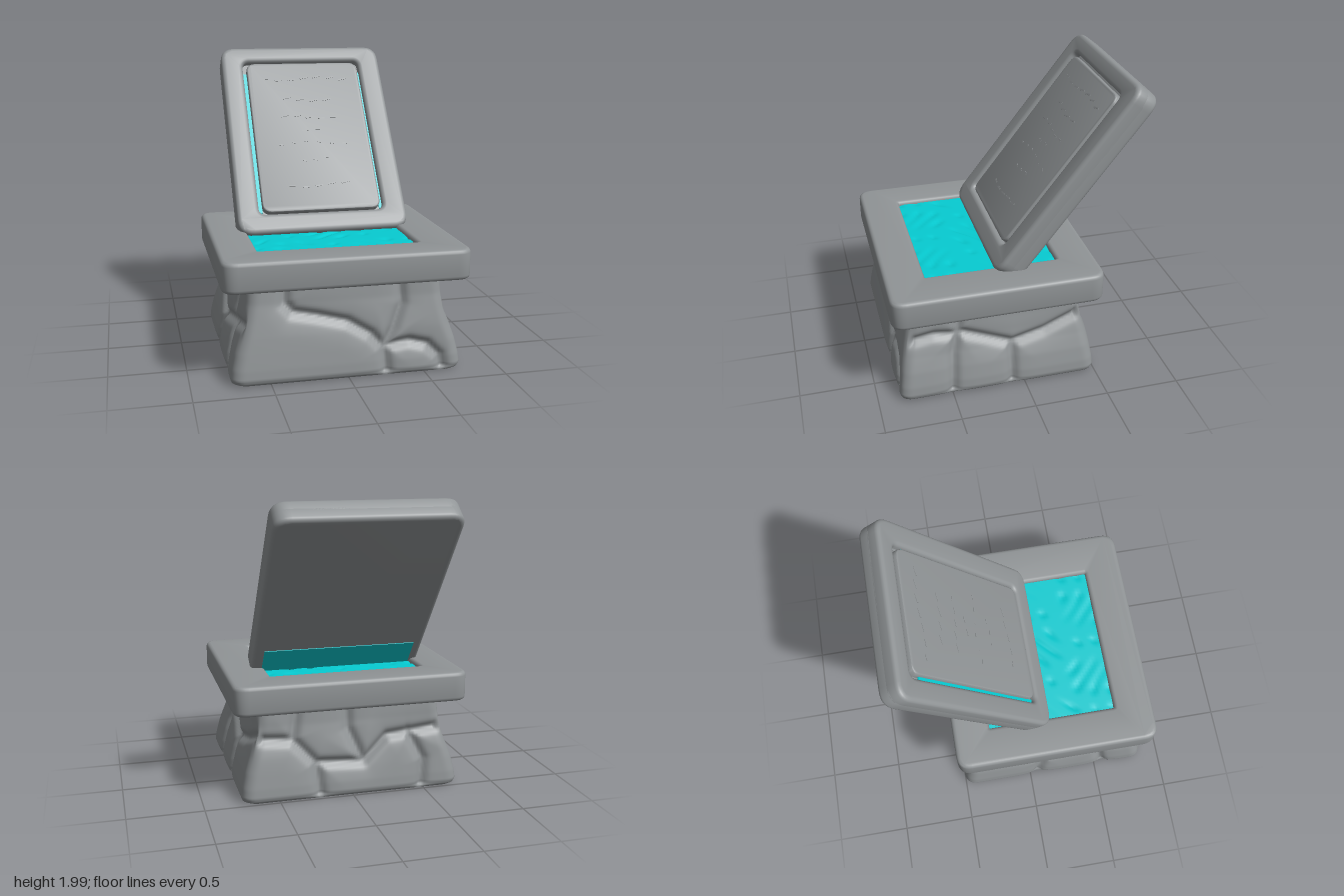
import * as THREE from 'three';
import { toCreasedNormals } from 'three/addons/utils/BufferGeometryUtils.js';

const stone = new THREE.MeshStandardMaterial({ color: 0x909496 });
stone.name = 'grey stone';
const teal = new THREE.MeshStandardMaterial({ color: 0x06ccd2, side: THREE.DoubleSide });
teal.name = 'teal';

function add(parent, name, geometry, material, x = 0, y = 0, z = 0) {
  const mesh = new THREE.Mesh(geometry, material);
  mesh.name = name;
  mesh.position.set(x, y, z);
  parent.add(mesh);
  return mesh;
}

// Rounded rectangle outline between two corners
function roundRect(x0, y0, x1, y1, r, Type = THREE.Shape) {
  const s = new Type();
  s.moveTo(x0 + r, y0);
  s.lineTo(x1 - r, y0);
  s.quadraticCurveTo(x1, y0, x1, y0 + r);
  s.lineTo(x1, y1 - r);
  s.quadraticCurveTo(x1, y1, x1 - r, y1);
  s.lineTo(x0 + r, y1);
  s.quadraticCurveTo(x0, y1, x0, y1 - r);
  s.lineTo(x0, y0 + r);
  s.quadraticCurveTo(x0, y0, x0 + r, y0);
  return s;
}

// Bevelled plate filling z0..z1, no larger than its outline
function plate(shape, z0, z1, bevel) {
  const g = new THREE.ExtrudeGeometry(shape, {
    depth: z1 - z0 - 2 * bevel, bevelThickness: bevel, bevelSize: bevel,
    bevelOffset: -bevel, bevelSegments: 4, curveSegments: 8,
  });
  g.translate(0, 0, z0 + bevel);
  return toCreasedNormals(g, 0.7);
}

// Joints between the stones of each side: paths of [along, height]
const joints = {
  front: [
    [[-0.4, 0.62], [-0.4, 0.5], [-0.35, 0.44], [-0.2, 0.41], [0, 0.36], [0.15, 0.27], [0.23, 0.18], [0.25, 0]],
    [[0.35, 0.62], [0.36, 0.45], [0.3, 0.3], [0.24, 0.19]],
    [[0.25, 0.19], [0.4, 0.21], [0.52, 0.18], [0.6, 0.1], [0.62, 0]],
  ],
  right: [
    [[0.43, 0.62], [0.44, 0.44], [0.48, 0.28], [0.5, 0]],
    [[0.44, 0.43], [0.08, 0.3], [-0.15, 0.35], [-0.45, 0.46]],
    [[0.08, 0.3], [0.09, 0]],
    [[0.44, 0.41], [0.6, 0.43], [0.82, 0.4]],
  ],
  back: [
    [[0.66, 0.42], [0.4, 0.4], [0.25, 0.24], [-0.08, 0.22], [-0.25, 0.38], [-0.68, 0.42]],
    [[0.36, 0.62], [0.4, 0.4]],
    [[0.25, 0.24], [0.22, 0]],
    [[-0.08, 0.22], [0.02, 0.45], [0.02, 0.62]],
    [[-0.4, 0.4], [-0.5, 0.2], [-0.48, 0]],
  ],
  left: [
    [[-0.44, 0.4], [-0.15, 0.36], [0.1, 0.24], [0.4, 0.3], [0.82, 0.38]],
    [[-0.15, 0.36], [-0.1, 0.62]],
    [[0.1, 0.24], [0.05, 0]],
    [[0.4, 0.3], [0.42, 0.62]],
    [[0.5, 0.32], [0.56, 0]],
  ],
};

function pathDistance(path, a, b) {
  let best = 9;
  for (let i = 0; i + 1 < path.length; i++) {
    const [ax, ay] = path[i], dx = path[i + 1][0] - ax, dy = path[i + 1][1] - ay;
    const t = THREE.MathUtils.clamp(((a - ax) * dx + (b - ay) * dy) / (dx * dx + dy * dy), 0, 1);
    best = Math.min(best, Math.hypot(a - ax - t * dx, b - ay - t * dy));
  }
  return best;
}

// Half width and half depth of the base by height
const profile = [
  [0, 0.72, 0.655], [0.012, 0.742, 0.672], [0.04, 0.752, 0.682], [0.1, 0.745, 0.675], [0.2, 0.722, 0.658],
  [0.3, 0.69, 0.64], [0.4, 0.665, 0.62], [0.5, 0.645, 0.6], [0.63, 0.63, 0.585],
];
function halfSizes(y) {
  let i = 0;
  while (i < profile.length - 2 && y > profile[i + 1][0]) i++;
  const p = profile[i], q = profile[i + 1], t = (y - p[0]) / (q[0] - p[0]);
  return [p[1] + (q[1] - p[1]) * t, p[2] + (q[2] - p[2]) * t];
}

// Tapered walls with grooves pressed in along the joints
function baseWalls(cz) {
  const N = 76, rows = 48, r = 0.08, pos = [], index = [], ring = 4 * N;
  const sides = ['front', 'right', 'back', 'left'];
  for (let j = 0; j <= rows; j++) {
    const y = 0.63 * Math.pow(j / rows, 1.2), [hx, hz] = halfSizes(y);
    for (let k = 0; k < ring; k++) {
      const side = Math.floor(k / N), t = (k % N) / N * 2 - 1;
      const x = [t, 1, -t, -1][side] * hx, z = [1, -t, -1, t][side] * hz;
      const ix = THREE.MathUtils.clamp(x, r - hx, hx - r), iz = THREE.MathUtils.clamp(z, r - hz, hz - r);
      const d = Math.hypot(x - ix, z - iz), nx = (x - ix) / d, nz = (z - iz) / d;
      const along = side % 2 ? z + cz : x;
      let dent = 0;
      for (const path of joints[sides[side]]) {
        const q = pathDistance(path, along, y);
        dent = Math.max(dent, 0.032 * Math.exp(-Math.pow(q / 0.03, 2)) + 0.012 * Math.exp(-Math.pow(q / 0.09, 2)));
      }
      const edge = Math.min(1, (1 - Math.abs(t)) / 0.08);
      const out = r - dent * Math.min(1, y / 0.03) * edge;
      pos.push(ix + nx * out, y, iz + nz * out + cz);
      if (j < rows) {
        const a = j * ring + k, b = j * ring + (k + 1) % ring;
        index.push(a, b, b + ring, a, b + ring, a + ring);
      }
    }
  }
  const g = new THREE.BufferGeometry();
  g.setAttribute('position', new THREE.Float32BufferAttribute(pos, 3));
  g.setIndex(index);
  g.computeVertexNormals();
  return g;
}

export function createModel() {
  const model = new THREE.Group();
  model.name = 'stone plinth with tilted tablet';
  const cz = 0.18;

  // Base of fitted stones, with a shallow oval socket underneath
  const base = new THREE.Group();
  base.name = 'base';
  model.add(base);
  add(base, 'baseStones', baseWalls(cz), stone);
  const under = roundRect(-0.72, cz - 0.655, 0.72, cz + 0.655, 0.1);
  const oval = new THREE.Path();
  oval.absellipse(-0.05, 0.33, 0.29, 0.16, 0, Math.PI * 2, true);
  under.holes.push(oval);
  add(base, 'baseUnderside', new THREE.ShapeGeometry(under, 24).rotateX(Math.PI / 2), stone);
  const wall = new THREE.CylinderGeometry(1, 1, 0.09, 40, 1, true).scale(0.29, 1, 0.16);
  add(base, 'socketWall', wall, teal, -0.05, 0.045, 0.33);
  const roof = new THREE.CircleGeometry(1, 40).rotateX(Math.PI / 2).scale(0.29, 1, 0.16);
  add(base, 'socketRoof', roof, teal, -0.05, 0.09, 0.33);

  // Top slab with a rectangular basin
  const slab = roundRect(-0.8, -0.71, 0.8, 0.71, 0.1);
  slab.holes.push(roundRect(-0.54, -0.44, 0.51, 0.45, 0.01, THREE.Path));
  add(model, 'topSlab', plate(slab, 0, 0.2, 0.028).rotateX(-Math.PI / 2), stone, 0, 0.61, cz);

  // Basin filling with a gently dimpled surface
  const fill = new THREE.PlaneGeometry(1.08, 0.92, 50, 44).rotateX(-Math.PI / 2);
  const p = fill.attributes.position;
  for (let i = 0; i < p.count; i++) {
    const x = p.getX(i), z = p.getZ(i);
    const wave = Math.sin(x * 23 + 3 * Math.sin(z * 9)) * Math.sin(z * 27 + 2 * Math.sin(x * 13));
    p.setY(i, -0.012 * Math.pow(Math.max(0, wave), 4));
  }
  fill.computeVertexNormals();
  add(model, 'basinFilling', fill, teal, -0.015, 0.783, 0.175);

  // Tilted tablet: solid back, raised frame, inner panel
  const tablet = new THREE.Group();
  tablet.name = 'tablet';
  tablet.position.set(0, 1.351, -0.364);
  tablet.rotation.x = -0.663;
  model.add(tablet);
  const outline = () => roundRect(-0.6, -0.76, 0.6, 0.762, 0.11);
  add(tablet, 'tabletBack', plate(outline(), -0.0875, 0.035, 0.03), stone);
  const frame = outline();
  frame.holes.push(roundRect(-0.445, -0.615, 0.435, 0.635, 0.05, THREE.Path));
  add(tablet, 'tabletFrame', plate(frame, -0.035, 0.0875, 0.03), stone);
  add(tablet, 'tabletPanel', plate(roundRect(-0.42, -0.605, 0.42, 0.618, 0.07), 0.02, 0.083, 0.012), stone);
  for (const x of [-0.433, 0.428])
    add(tablet, 'grooveInlay', new THREE.BoxGeometry(0.028, 1.14, 0.008), teal, x, -0.03, 0.05);
  add(tablet, 'backInlay', new THREE.BoxGeometry(1.06, 0.26, 0.008), teal, 0, -0.57, -0.088);

  // Worn, shallow ridges in rows across the panel
  const rows = [[0.476, 0.34], [0.298, 0.2], [0.146, 0.22], [0.03, 0.09], [-0.07, 0.28], [-0.2, 0.12], [-0.41, 0.24]];
  rows.forEach(([v, half], r) => {
    const count = Math.round(half * 22);
    for (let i = 0; i < count; i++) {
      const x = ((i + 0.5) / count * 2 - 1) * half, s = Math.sin(i * 12.9 + r * 7.3);
      const ridge = add(tablet, 'wornRidge', new THREE.BoxGeometry(0.045 + 0.02 * s, 0.01, 0.006),
        stone, x, v + 0.014 * Math.sin(i * 5.1 + r), 0.083);
      ridge.rotation.z = 0.25 * s;
    }
  });
  return model;
}
